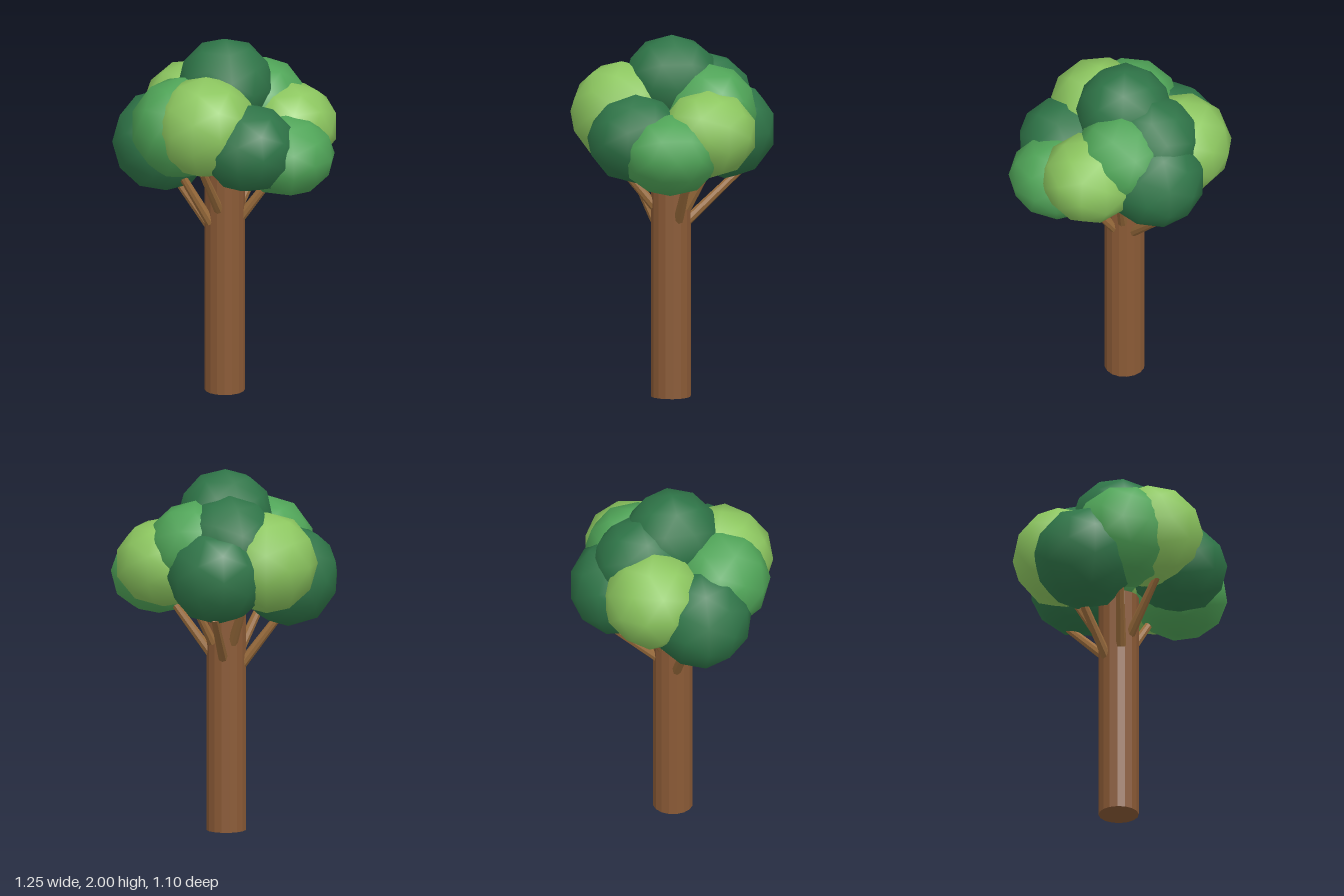
import * as THREE from 'three';
import { mergeVertices } from 'three/addons/utils/BufferGeometryUtils.js';

const paint = (color, flatShading = false) => new THREE.MeshStandardMaterial({ color, flatShading });

// Low-poly ball with shared, smooth normals
function ballGeometry() {
  const g = new THREE.IcosahedronGeometry(1, 1);
  g.deleteAttribute('uv');
  g.deleteAttribute('normal');
  const merged = mergeVertices(g, 1e-4);
  merged.computeVertexNormals();
  return merged;
}

// Tapered stick between two points
function stick(from, to, r0, r1, material) {
  const a = new THREE.Vector3(...from), b = new THREE.Vector3(...to);
  const dir = b.clone().sub(a);
  const mesh = new THREE.Mesh(new THREE.CylinderGeometry(r1, r0, dir.length(), 8), material);
  mesh.position.copy(a).add(b).multiplyScalar(0.5);
  mesh.quaternion.setFromUnitVectors(new THREE.Vector3(0, 1, 0), dir.normalize());
  return mesh;
}

export function createModel() {
  const tree = new THREE.Group();
  tree.name = 'tree';

  // Trunk
  const trunk = new THREE.Mesh(new THREE.CylinderGeometry(0.11, 0.11, 1.3, 16), paint(0x8a5a36, true));
  trunk.name = 'trunk';
  trunk.position.set(-0.028, 0.65, 0.01);
  tree.add(trunk);

  // Branches fanning out from the trunk into the foliage
  const bark = paint(0x9a6c3c, true);
  const branches = new THREE.Group();
  branches.name = 'branches';
  [
    [[-0.1, 0.9, 0.01], [-0.36, 1.25, 0.04]],
    [[-0.08, 0.97, 0.09], [-0.2, 1.27, 0.22]],
    [[-0.025, 1.04, 0.09], [-0.025, 1.32, 0.32]],
    [[0.05, 0.98, -0.02], [0.26, 1.27, -0.05]],
    [[0.03, 1.05, -0.07], [0.11, 1.28, -0.18]],
    [[-0.03, 0.95, -0.06], [-0.05, 1.24, -0.375]],
    [[-0.08, 1.05, -0.06], [-0.17, 1.29, -0.18]],
  ].forEach(([from, to], i) => {
    const branch = stick(from, to, 0.028, 0.021, bark);
    branch.name = `branch${i + 1}`;
    branches.add(branch);
  });
  tree.add(branches);

  // Foliage clumps: name, colour, centre, width radius, height radius
  const dark = paint(0x2f7548), mid = paint(0x50a558), light = paint(0x8cc65f);
  const ball = ballGeometry();
  const foliage = new THREE.Group();
  foliage.name = 'foliage';
  [
    ['topClump', dark, [-0.025, 1.74, 0.005], 0.265, 0.26],
    ['frontClump', light, [-0.025, 1.575, 0.28], 0.285, 0.285],
    ['frontRightClump', mid, [-0.19, 1.54, 0.235], 0.28, 0.285],
    ['rightClump', dark, [-0.355, 1.41, 0.1], 0.28, 0.285],
    ['backRightClump', light, [-0.29, 1.52, -0.15], 0.28, 0.28],
    ['backClump', dark, [-0.045, 1.47, -0.29], 0.28, 0.275],
    ['upperBackRightClump', dark, [-0.09, 1.63, -0.18], 0.27, 0.26],
    ['upperBackLeftClump', mid, [0.1, 1.59, -0.185], 0.265, 0.265],
    ['backLeftClump', light, [0.285, 1.5, -0.155], 0.267, 0.245],
    ['leftClump', mid, [0.36, 1.4, 0.065], 0.268, 0.225],
    ['frontLeftClump', dark, [0.21, 1.47, 0.235], 0.268, 0.245],
  ].forEach(([name, material, centre, width, height], i) => {
    const clump = new THREE.Mesh(ball, material);
    clump.name = name;
    clump.position.set(...centre);
    clump.scale.set(width, height, width);
    clump.rotation.y = i * 0.7;
    foliage.add(clump);
  });
  tree.add(foliage);

  return tree;
}
